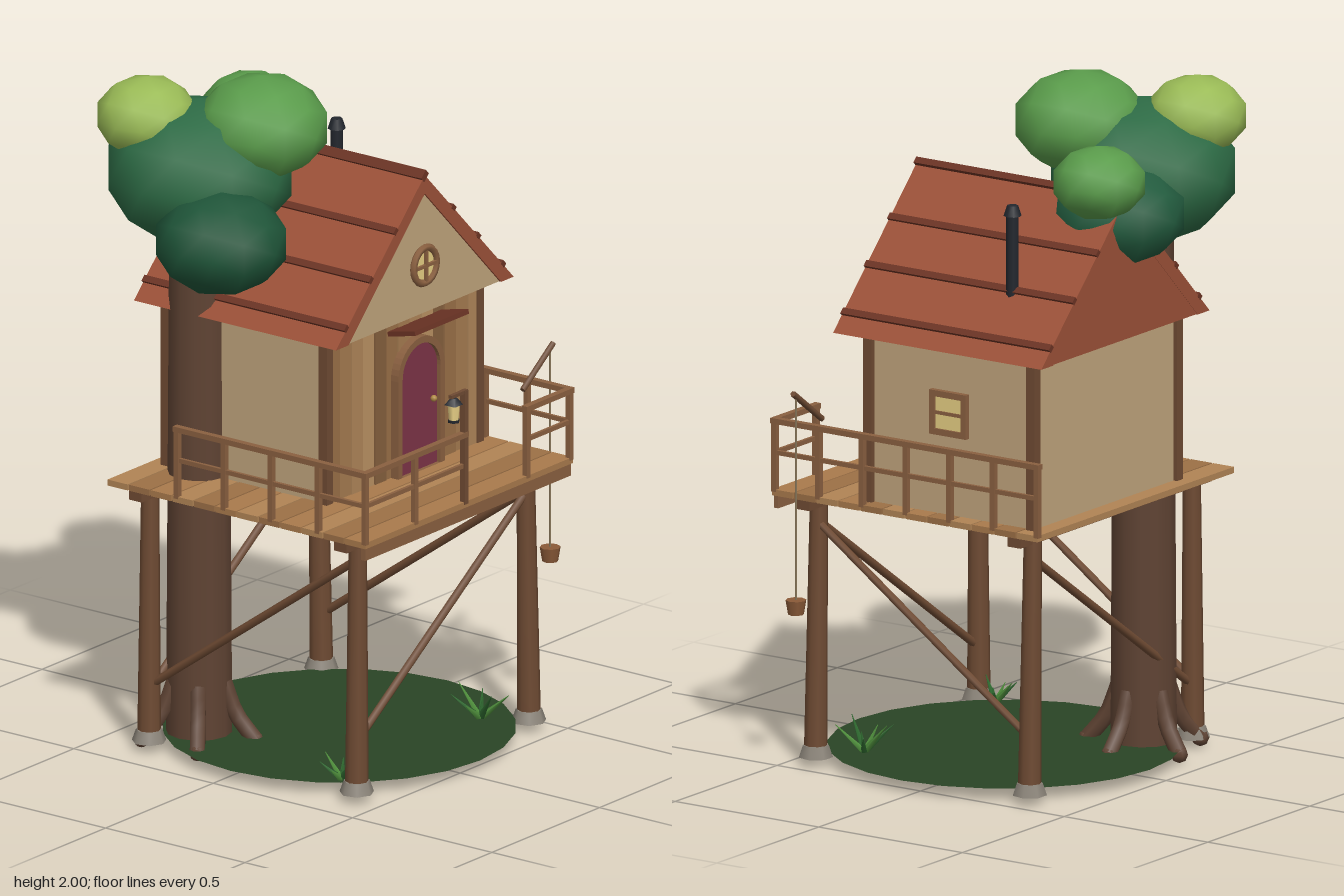
import * as THREE from 'three';

const V = (x, y, z) => new THREE.Vector3(x, y, z);
const mats = {};
const mat = (c) => (mats[c] ??= new THREE.MeshStandardMaterial({ color: c, side: THREE.DoubleSide }));
const BARK = 0x5f4333, POST = 0x6f4b33, RAIL = 0x8a6040, DECK = 0xa97a4c, WALL = 0xc0a47c,
  ROOF = 0x9c5138, RIB = 0x6b3324, IRON = 0x23272e, GLASS = 0xe6cf83;

export function createModel() {
  const root = new THREE.Group();
  root.name = 'treehouse';
  const group = (name) => {
    const g = new THREE.Group();
    g.name = name;
    root.add(g);
    return g;
  };
  const add = (parent, name, geo, color, x = 0, y = 0, z = 0) => {
    const m = new THREE.Mesh(geo, mat(color));
    m.name = name;
    m.position.set(x, y, z);
    parent.add(m);
    return m;
  };
  const box = (p, name, w, h, d, x, y, z, c) => add(p, name, new THREE.BoxGeometry(w, h, d), c, x, y, z);
  const cyl = (p, name, rt, rb, h, n, x, y, z, c) => add(p, name, new THREE.CylinderGeometry(rt, rb, h, n), c, x, y, z);
  // round pole from a to b
  const pole = (p, name, a, b, ra, rb, c, n = 8) => {
    const d = b.clone().sub(a), mid = a.clone().add(b).multiplyScalar(0.5);
    const m = cyl(p, name, rb, ra, d.length(), n, mid.x, mid.y, mid.z, c);
    m.quaternion.setFromUnitVectors(V(0, 1, 0), d.normalize());
    return m;
  };
  const extrude = (p, name, shape, depth, c, x, y, z) =>
    add(p, name, new THREE.ExtrudeGeometry(shape, { depth, bevelEnabled: false, curveSegments: 10 }), c, x, y, z);
  const poly = (pts) => new THREE.Shape(pts.map(([x, y]) => new THREE.Vector2(x, y)));

  // ground disc
  add(root, 'ground', new THREE.CircleGeometry(0.505, 24), 0x2a4425, 0.04, 0.035, 0.035).rotation.x = -Math.PI / 2;

  // tree trunk and roots
  const tree = group('tree');
  cyl(tree, 'trunk', 0.085, 0.095, 1.65, 12, -0.235, 0.86, -0.255, BARK);
  for (let i = 0; i < 5; i++) {
    const a = (i * Math.PI * 2) / 5, c = Math.cos(a), s = Math.sin(a);
    const path = new THREE.CatmullRomCurve3([[0.075, 0.19], [0.11, 0.1], [0.17, 0.025]]
      .map(([r, y]) => V(-0.235 + c * r, y, -0.255 + s * r)));
    add(tree, 'root', new THREE.TubeGeometry(path, 5, 0.024, 6), BARK);
    add(tree, 'rootTip', new THREE.SphereGeometry(0.025, 6, 4), BARK, -0.235 + c * 0.17, 0.025, -0.255 + s * 0.17);
  }
  // foliage: x, y, z, radius, height radius, colour
  for (const [x, y, z, r, h, c] of [
    [-0.225, 1.71, -0.26, 0.275, 0.215, 0x2d6b45],
    [-0.385, 1.58, -0.06, 0.195, 0.15, 0x1f5539],
    [0.0, 1.64, -0.33, 0.2, 0.15, 0x235c3f],
    [-0.13, 1.85, -0.11, 0.195, 0.15, 0x5a9c4b],
    [0.16, 1.77, -0.38, 0.137, 0.107, 0x5a9c4b],
    [-0.31, 1.87, -0.385, 0.148, 0.118, 0x9abb56],
  ]) add(tree, 'foliage', new THREE.IcosahedronGeometry(1, 1), c, x, y, z).scale.set(r, h, r);

  // stilts with stone feet
  const frame = group('supports');
  const X = [-0.37, 0.43], Z = [-0.33, 0.415];
  for (const x of X) for (const z of Z) {
    pole(frame, 'stilt', V(x, 0.04, z), V(x + (x < 0 ? 0.01 : -0.01), 0.79, z - 0.004), 0.034, 0.026, POST);
    cyl(frame, 'stoneFoot', 0.038, 0.05, 0.035, 7, x, 0.042, z, 0x8a8378);
  }
  for (const z of Z) pole(frame, 'brace', V(-0.35, 0.19, z), V(0.41, 0.71, z), 0.012, 0.012, POST, 6);
  for (const x of X) pole(frame, 'brace', V(x, 0.19, -0.33), V(x, 0.71, 0.4), 0.012, 0.012, POST, 6);
  for (const z of [-0.325, 0.41]) box(frame, 'beam', 0.94, 0.035, 0.045, 0.03, 0.78, z, POST);

  // deck planks
  const deck = group('deck');
  for (let i = 0; i < 12; i++)
    box(deck, 'deckPlank', 0.965, 0.018, 0.072, 0.03, 0.803, 0.473 - i * 0.0775, [DECK, 0x9c7046, 0xb18455][i % 3]);
  box(deck, 'frontFascia', 0.955, 0.04, 0.015, 0.03, 0.777, 0.498, RAIL);

  // railings: two rails and evenly spaced posts between two points
  const rails = group('railings');
  const railing = (x0, z0, x1, z1, n) => {
    const lx = Math.abs(x1 - x0), lz = Math.abs(z1 - z0), cx = (x0 + x1) / 2, cz = (z0 + z1) / 2;
    box(rails, 'topRail', lx + 0.02, 0.016, lz + 0.02, cx, 1.013, cz, RAIL);
    box(rails, 'midRail', lx + 0.01, 0.013, lz + 0.01, cx, 0.92, cz, RAIL);
    for (let i = 0; i <= n; i++)
      box(rails, 'railPost', 0.016, 0.21, 0.016, x0 + ((x1 - x0) * i) / n, 0.91, z0 + ((z1 - z0) * i) / n, RAIL);
  };
  railing(-0.445, 0.503, 0.015, 0.503, 2);
  railing(0.305, 0.503, 0.505, 0.503, 1);
  railing(0.505, 0.503, 0.505, -0.41, 6);
  railing(-0.445, 0.503, -0.445, -0.17, 4);

  // cabin
  const cabin = group('cabin');
  const CX = 0.108;
  box(cabin, 'walls', 0.7, 0.5, 0.57, CX, 1.06, -0.08, WALL);
  const tones = [0x9a7048, 0xb08659, 0x86603d, 0xa67c50, 0xbb9263];
  for (let i = 0; i < 13; i++)
    box(cabin, 'frontPlank', 0.051, 0.5, 0.016, CX - 0.324 + i * 0.054, 1.06, 0.208 - (i % 2) * 0.003, tones[(i * 3) % 5]);
  for (const x of [-0.35, 0.35]) for (const z of [-0.362, 0.205])
    box(cabin, 'cornerPost', 0.03, 0.5, 0.03, CX + x, 1.06, z, POST);

  // arched door, frame, knob and awning
  const arch = (r, h) => {
    const s = new THREE.Shape();
    s.moveTo(-r, 0);
    s.lineTo(r, 0);
    s.lineTo(r, h);
    s.absarc(0, h, r, 0, Math.PI, false);
    s.lineTo(-r, 0);
    return s;
  };
  const door = group('door');
  const surround = arch(0.108, 0.292);
  surround.holes.push(arch(0.088, 0.292));
  extrude(door, 'doorFrame', surround, 0.03, RAIL, 0.158, 0.812, 0.21);
  extrude(door, 'doorLeaf', arch(0.09, 0.292), 0.018, 0x7d3447, 0.158, 0.812, 0.21);
  add(door, 'knob', new THREE.SphereGeometry(0.01, 8, 6), 0xb08a45, 0.22, 1.01, 0.236);
  box(door, 'awning', 0.25, 0.014, 0.1, 0.16, 1.258, 0.262, RIB).rotation.x = -0.22;

  // roof: filled prism, sloping cover, front gable, ribs
  const roof = group('roof');
  extrude(roof, 'roofBody', poly([[-0.4, 1.307], [0.4, 1.307], [0, 1.71]]), 0.7, ROOF, CX, 0, -0.434);
  extrude(roof, 'roofCover', poly([[-0.413, 1.305], [-0.355, 1.305], [0, 1.665], [0.355, 1.305], [0.413, 1.305], [0, 1.72]]),
    0.725, ROOF, CX, 0, -0.435);
  extrude(roof, 'frontGable', poly([[-0.358, 1.306], [0.358, 1.306], [0, 1.668]]), 0.02, WALL, CX, 0, 0.264);
  box(roof, 'ridgeCap', 0.03, 0.02, 0.727, CX, 1.718, -0.0725, RIB).rotation.z = Math.PI / 4;
  for (const s of [-1, 1]) for (const d of [0.135, 0.25, 0.365])
    box(roof, 'roofRib', 0.02, 0.014, 0.727, CX + s * d, 1.722 - d, -0.0725, RIB).rotation.z = -s * Math.PI / 4;
  cyl(roof, 'chimney', 0.018, 0.018, 0.3, 8, 0.355, 1.56, -0.217, IRON);
  cyl(roof, 'chimneyCap', 0.016, 0.026, 0.03, 8, 0.355, 1.705, -0.217, IRON);

  // round gable window
  const round = group('roundWindow');
  round.position.set(CX, 1.45, 0.29);
  add(round, 'windowRing', new THREE.TorusGeometry(0.053, 0.011, 6, 20), RAIL);
  add(round, 'windowGlass', new THREE.CircleGeometry(0.053, 20), GLASS);
  box(round, 'windowBar', 0.1, 0.009, 0.012, 0, 0, 0.003, RAIL);
  box(round, 'windowBar', 0.009, 0.1, 0.012, 0, 0, 0.003, RAIL);

  // side window
  const side = group('sideWindow');
  side.position.set(0.462, 1.11, -0.075);
  box(side, 'windowGlass', 0.012, 0.1, 0.1, 0, 0, 0, GLASS);
  for (const s of [-1, 1]) {
    box(side, 'windowFrame', 0.025, 0.018, 0.128, 0, s * 0.056, 0, RAIL);
    box(side, 'windowFrame', 0.025, 0.13, 0.018, 0, 0, s * 0.055, RAIL);
  }
  box(side, 'windowBar', 0.02, 0.01, 0.1, 0, 0, 0, RAIL);

  // lantern on its post
  const lamp = group('lantern');
  box(lamp, 'lanternPost', 0.018, 0.34, 0.018, 0.015, 0.975, 0.503, POST);
  box(lamp, 'lanternArm', 0.075, 0.01, 0.012, -0.015, 1.142, 0.505, POST);
  cyl(lamp, 'lanternCap', 0.01, 0.027, 0.02, 4, -0.036, 1.125, 0.505, IRON).rotation.y = Math.PI / 4;
  cyl(lamp, 'lanternLight', 0.019, 0.015, 0.045, 6, -0.036, 1.093, 0.505, 0xf0d78a);
  cyl(lamp, 'lanternBase', 0.017, 0.017, 0.008, 6, -0.036, 1.067, 0.505, IRON);

  // hoist arm, rope and bucket
  const hoist = group('hoist');
  pole(hoist, 'hoistArm', V(0.42, 1.015, 0.4), V(0.562, 1.118, 0.4), 0.009, 0.009, POST, 6);
  cyl(hoist, 'rope', 0.003, 0.003, 0.6, 5, 0.548, 0.81, 0.4, 0x8d7a5c);
  cyl(hoist, 'bucket', 0.03, 0.023, 0.042, 8, 0.548, 0.49, 0.4, 0x8a5a38);

  // grass tufts
  const grass = group('grass');
  for (const [x, z, h] of [[0.34, 0.31, 0.1], [-0.33, 0.33, 0.075]])
    for (let i = 0; i < 7; i++) {
      const a = i * 0.9 + 0.3, r = h * (i === 0 ? 0.1 : 0.85);
      pole(grass, 'blade', V(x, 0.035, z), V(x + Math.cos(a) * r, 0.035 + h * (0.6 + (i % 3) * 0.15), z + Math.sin(a) * r),
        0.012, 0.001, i % 2 ? 0x4f8f3c : 0x2f6a30, 4);
    }
  return root;
}
